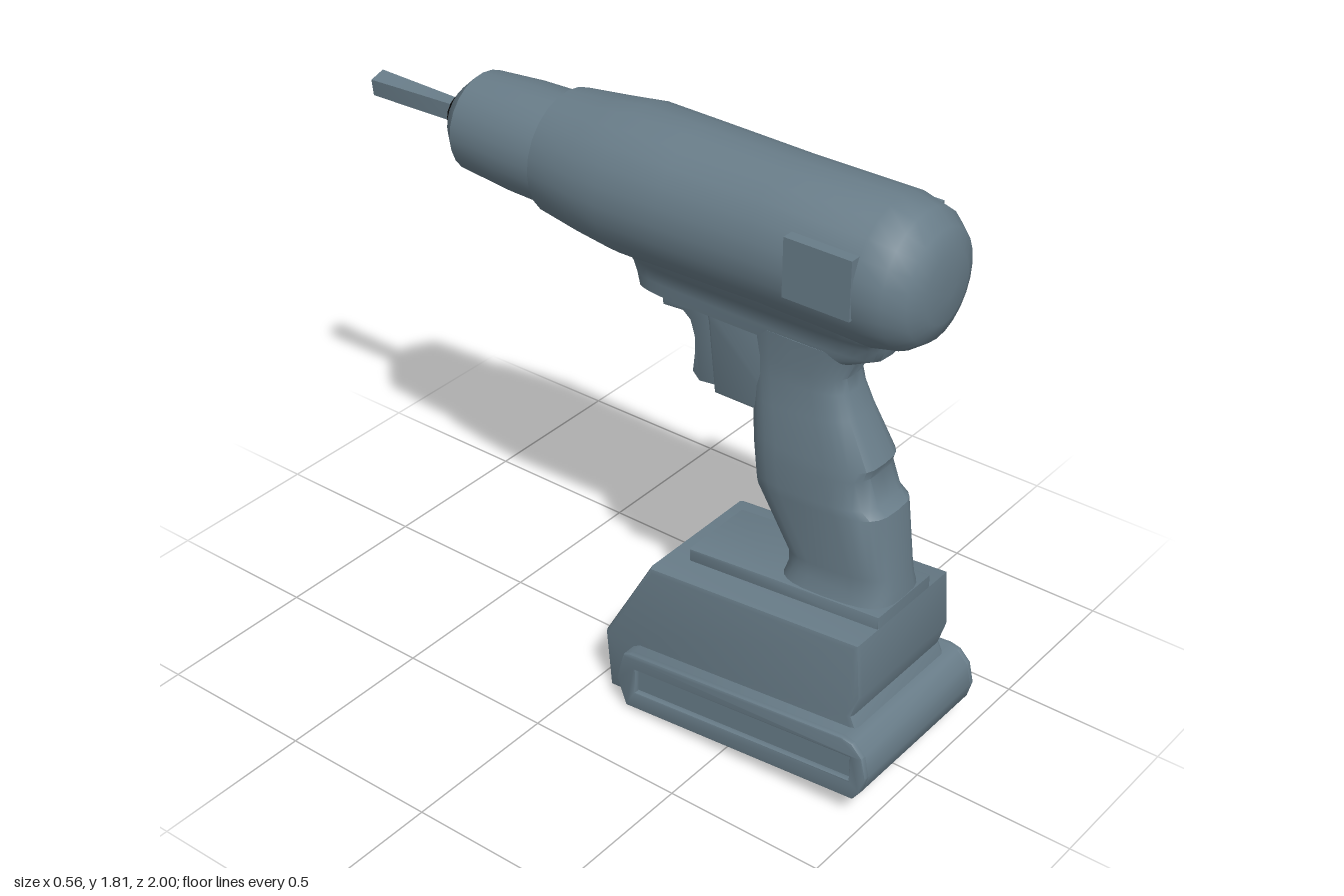
import * as THREE from 'three';
import { toCreasedNormals } from 'three/addons/utils/BufferGeometryUtils.js';

const slate = new THREE.MeshStandardMaterial({ color: 0x687c88 });
slate.name = 'slate';
const black = new THREE.MeshStandardMaterial({ color: 0x060606 });
black.name = 'black';

// Skin a list of closed rings (counter-clockwise about the travel direction) and cap both ends.
function loft(rings, crease = 0.7) {
  const n = rings[0].length, pos = [], idx = [];
  rings.forEach(r => r.forEach(p => pos.push(...p)));
  for (let k = 0; k < rings.length - 1; k++) {
    for (let i = 0; i < n; i++) {
      const j = (i + 1) % n, a = k * n, b = a + n;
      idx.push(a + i, a + j, b + j, a + i, b + j, b + i);
    }
  }
  [0, rings.length - 1].forEach((k, end) => {
    const c = pos.length / 3;
    pos.push(...[0, 1, 2].map(q => rings[k].reduce((s, p) => s + p[q], 0) / n));
    for (let i = 0; i < n; i++) {
      const a = k * n + i, b = k * n + (i + 1) % n;
      idx.push(c, end ? a : b, end ? b : a);
    }
  });
  const g = new THREE.BufferGeometry();
  g.setAttribute('position', new THREE.Float32BufferAttribute(pos, 3));
  g.setIndex(idx);
  return toCreasedNormals(g, crease);
}

const soft = (v, e) => Math.sign(v) * Math.pow(Math.abs(v), e);

// Rounded section lying across z: [z, centre y, half width, half height]
function ringZ([z, cy, hw, hh], n = 24) {
  return Array.from({ length: n }, (_, i) => {
    const t = (i / n) * Math.PI * 2;
    return [Math.cos(t) * hw, cy + Math.sin(t) * hh, z];
  });
}

// Boxy rounded section: [y at back, y at front, back z, front z, half width]
function ringY([yb, yf, zb, zf, hw], e = 0.6, n = 28) {
  return Array.from({ length: n }, (_, i) => {
    const t = (i / n) * Math.PI * 2, c = soft(Math.cos(t), e);
    return [soft(Math.sin(t), e) * hw, (yb + yf) / 2 + (c * (yb - yf)) / 2, (zb + zf) / 2 + (c * (zb - zf)) / 2];
  });
}

// Side outline of [z, y] points extruded between x0 and x1
function slab(points, x0, x1, bevel = 0, hole = null) {
  const vec = list => list.map(p => new THREE.Vector2(...p));
  const shape = new THREE.Shape(vec(points));
  if (hole) shape.holes.push(new THREE.Path(vec(hole)));
  const g = new THREE.ExtrudeGeometry(shape, {
    depth: x1 - x0 - 2 * bevel, bevelEnabled: bevel > 0, bevelSize: bevel,
    bevelThickness: bevel, bevelOffset: -bevel, bevelSegments: 2,
  });
  g.rotateY(-Math.PI / 2);
  g.translate(x1 - bevel, 0, 0);
  return toCreasedNormals(g, 0.6);
}

export function createModel() {
  const model = new THREE.Group();
  model.name = 'cordlessDrill';
  const add = (name, geometry, material = slate) => {
    const m = new THREE.Mesh(geometry, material);
    m.name = name;
    model.add(m);
    return m;
  };

  // Motor housing
  add('motorHousing', loft([
    [-0.265, 1.597, 0.182, 0.185], [-0.12, 1.596, 0.205, 0.202], [0, 1.598, 0.218, 0.217],
    [0.2, 1.597, 0.213, 0.216], [0.5, 1.595, 0.205, 0.214], [0.83, 1.595, 0.21, 0.214],
    [0.91, 1.594, 0.195, 0.195], [0.96, 1.593, 0.155, 0.158], [0.983, 1.592, 0.1, 0.1],
    [0.988, 1.592, 0.03, 0.03],
  ].map(r => ringZ(r))));

  // Chuck, collar and bit
  add('chuck', loft([
    [-0.643, 1.597, 0.085, 0.085], [-0.635, 1.597, 0.1, 0.1], [-0.58, 1.597, 0.15, 0.15],
    [-0.42, 1.597, 0.162, 0.163], [-0.25, 1.597, 0.166, 0.167],
  ].map(r => ringZ(r)), 0.6));
  add('chuckCollar', loft([
    [-0.672, 1.597, 0.06, 0.06], [-0.655, 1.597, 0.075, 0.075], [-0.63, 1.597, 0.085, 0.085],
  ].map(r => ringZ(r, 16))), black);
  const bitRings = [];
  for (let k = 0; k <= 4; k++) {
    const f = k / 4, twist = (1 - f) * 0.3;
    const hw = 0.026 - 0.006 * f, hh = 0.027;
    bitRings.push([[1, -1], [1, 1], [-1, 1], [-1, -1]].map(([sx, sy]) => [
      sx * hw * Math.cos(twist) - sy * hh * Math.sin(twist) * 0.4,
      1.597 + sx * hw * Math.sin(twist) + sy * hh * Math.cos(twist), -1 + 0.35 * f]));
  }
  add('bit', loft(bitRings, 0.4));

  // Ledge joining the housing to the handle
  add('housingNeck', loft([
    [1.3, 1.3, 0.75, 0.02, 0.082], [1.34, 1.34, 0.83, 0.012, 0.088], [1.375, 1.375, 0.845, 0, 0.092],
    [1.4, 1.4, 0.85, 0, 0.115], [1.44, 1.44, 0.86, 0, 0.145], [1.5, 1.5, 0.85, 0.02, 0.17],
  ].map(r => ringY(r, 0.4))));

  // Grip, with the switch housing in front of it
  add('grip', loft([
    [0.59, 0.56, 0.92, 0.55, 0.128], [0.63, 0.61, 0.915, 0.565, 0.112], [0.68, 0.65, 0.908, 0.56, 0.107],
    [0.87, 0.84, 0.88, 0.45, 0.124], [0.89, 0.87, 0.85, 0.447, 0.124], [0.97, 0.95, 0.82, 0.437, 0.121],
    [1.0, 1.0, 0.83, 0.432, 0.118], [1.13, 1.1, 0.76, 0.42, 0.098], [1.2, 1.18, 0.73, 0.41, 0.087],
    [1.24, 1.24, 0.72, 0.4, 0.085], [1.33, 1.33, 0.76, 0.38, 0.088],
  ].map(r => ringY(r))));
  add('switchHousing', slab([[0.31, 1.06], [0.56, 1.06], [0.56, 1.34], [0.27, 1.34], [0.285, 1.28]], -0.08, 0.08, 0.012));
  add('trigger', slab([
    [0.32, 1.07], [0.24, 1.06], [0.215, 1.085], [0.222, 1.15], [0.22, 1.2], [0.205, 1.245], [0.18, 1.265],
    [0.11, 1.26], [0.105, 1.31], [0.32, 1.31],
  ].reverse(), -0.055, 0.055, 0.008));

  // Foot of the handle
  add('handleFoot', slab([[0.92, 0.54], [0.92, 0.6], [0.56, 0.572], [0.27, 0.545], [0.27, 0.48]], -0.13, 0.13, 0.008));

  // Battery block
  add('battery', slab([
    [0.92, 0.56], [0.2, 0.5], [0.033, 0.2], [0.052, 0.004], [0.15, 0.012], [0.94, 0.082],
    [0.96, 0.2], [0.91, 0.31], [0.933, 0.385],
  ], -0.227, 0.227, 0.016));

  // Wide lower battery shell, with a long groove in each side
  const shell = [
    [0.915, 0.277], [0.95, 0.27], [0.985, 0.235], [1, 0.17], [0.985, 0.115], [0.96, 0.08],
    [0.155, 0.013], [0.12, 0.1], [0.145, 0.195], [0.17, 0.207],
  ];
  const groove = [[0.945, 0.222], [0.19, 0.156], [0.19, 0.075], [0.945, 0.14]];
  add('batteryShell', slab(shell, -0.262, 0.262));
  for (const s of [-1, 1]) {
    const side = s > 0 ? 'left' : 'right';
    add(side + 'BatteryRail', slab(shell, s > 0 ? 0.255 : -0.28, s > 0 ? 0.28 : -0.255, 0.006, groove));
    // Flat panel on the side of the housing
    const panel = add(side + 'HousingPanel', new THREE.BoxGeometry(0.04, 0.175, 0.21));
    panel.position.set(s * 0.192, 1.62, 0.725);
  }

  // Battery release latch on the end face
  const latch = new THREE.Group();
  latch.name = 'batteryLatch';
  const bar = (name, w, h, d, x, y) => {
    const m = new THREE.Mesh(new THREE.BoxGeometry(w, h, d), slate);
    m.name = name;
    m.position.set(x, y, 0);
    latch.add(m);
  };
  bar('latchUpperBar', 0.2, 0.018, 0.016, 0, 0.06);
  bar('latchLowerBar', 0.2, 0.018, 0.016, 0, -0.06);
  bar('latchButton', 0.13, 0.045, 0.022, 0, 0.01);
  for (const s of [-1, 1]) bar('latchSide', 0.018, 0.12, 0.016, s * 0.091, 0);
  latch.position.set(0, 0.105, 0.043);
  latch.rotation.x = -0.1;
  model.add(latch);

  return model;
}
